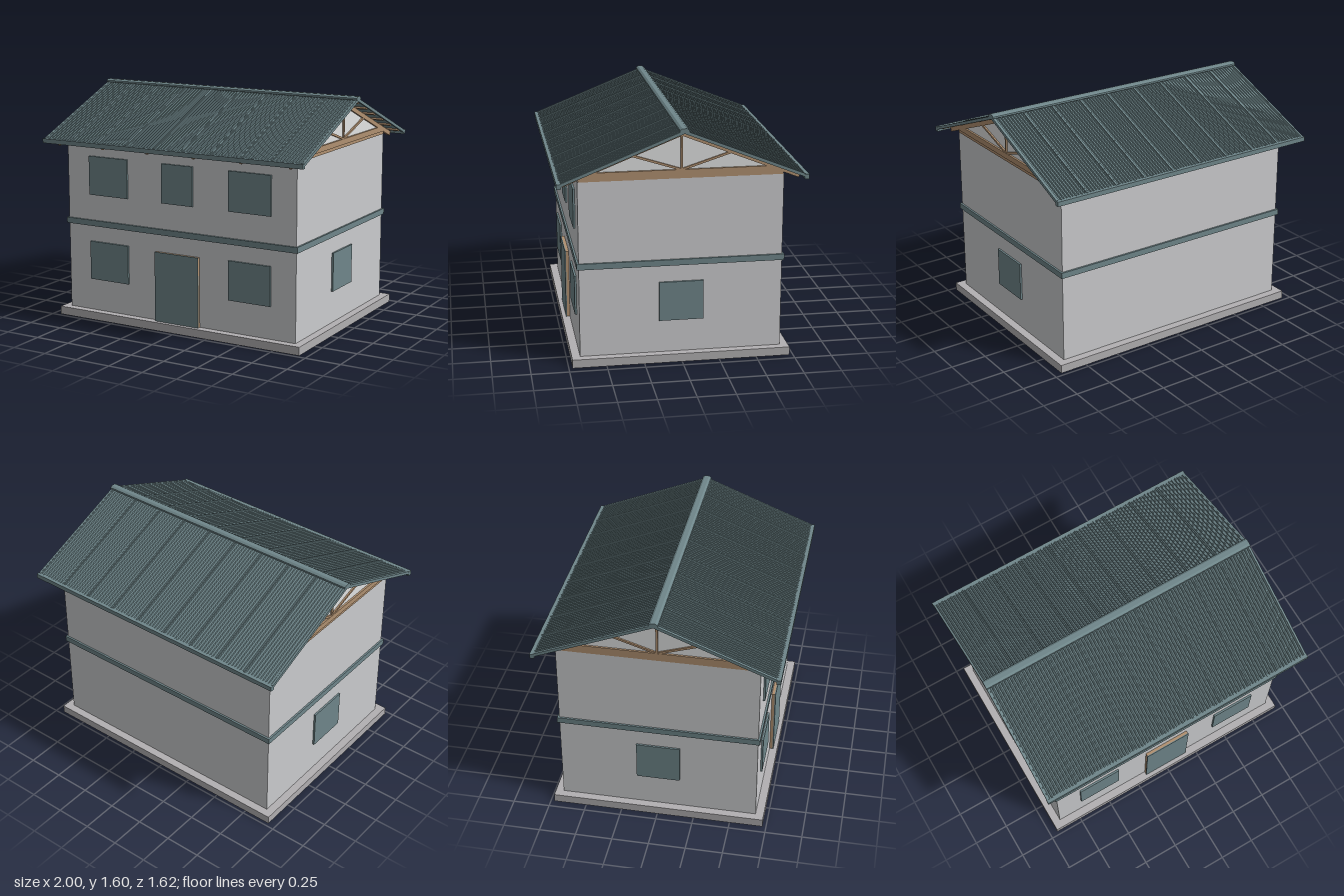
import * as THREE from 'three';

const mat = (name, color) => {
  const m = new THREE.MeshStandardMaterial({ color });
  m.name = name;
  return m;
};

export function createModel() {
  const model = new THREE.Group();
  model.name = 'house';
  const teal = mat('teal', 0x6f868a);
  const plaster = mat('plaster', 0xcbccce);
  const concrete = mat('concrete', 0xb2b0b2);
  const timber = mat('timber', 0xb09070);
  const gablePanel = mat('gable panel', 0xe2e3e3);

  const add = (parent, name, geometry, material) => {
    const mesh = new THREE.Mesh(geometry, material);
    mesh.name = name;
    parent.add(mesh);
    return mesh;
  };
  // Box given by its minimum and maximum corners
  const box = (parent, name, material, x0, x1, y0, y1, z0, z1) => {
    const mesh = add(parent, name, new THREE.BoxGeometry(x1 - x0, y1 - y0, z1 - z0), material);
    mesh.position.set((x0 + x1) / 2, (y0 + y1) / 2, (z0 + z1) / 2);
    return mesh;
  };
  const shapeOf = (points) => new THREE.Shape(points.map(([x, y]) => new THREE.Vector2(x, y)));
  // Prism whose (z, y) outline runs along x
  const prismX = (parent, name, material, points, length, x) => {
    const g = new THREE.ExtrudeGeometry(shapeOf(points), { depth: length, bevelEnabled: false });
    g.translate(0, 0, -length / 2).rotateY(Math.PI / 2);
    const mesh = add(parent, name, g, material);
    mesh.position.x = x;
    return mesh;
  };

  // Body
  box(model, 'foundation', concrete, -0.945, 0.945, 0, 0.057, -0.725, 0.725);
  box(model, 'walls', plaster, -0.89, 0.89, 0.057, 1.248, -0.67, 0.67);
  box(model, 'floorBand', teal, -0.903, 0.903, 0.66, 0.7, -0.683, 0.683);

  // Windows and door
  for (const s of [-1, 1]) {
    for (const y of [0.28, 0.88]) {
      box(model, 'frontWindow', teal, s * 0.552 - 0.156, s * 0.552 + 0.156, y, y + 0.27, 0.665, 0.683);
    }
    box(model, 'sideWindow', teal, s * 0.894 - 0.009, s * 0.894 + 0.009, 0.28, 0.547, -0.147, 0.147);
  }
  box(model, 'middleWindow', teal, -0.121, 0.121, 0.88, 1.15, 0.665, 0.683);
  box(model, 'doorFrame', timber, -0.168, 0.168, 0.057, 0.54, 0.665, 0.69);
  box(model, 'door', teal, -0.17, 0.17, 0.057, 0.542, 0.69, 0.697);

  // Wall plates and gable infill
  for (const s of [-1, 1]) {
    box(model, 'wallPlate', timber, -0.893, 0.893, 1.245, 1.268, s * 0.645 - 0.02, s * 0.645 + 0.02);
    box(model, 'endPlate', timber, s * 0.883 - 0.012, s * 0.883 + 0.012, 1.245, 1.268, -0.66, 0.66);
    prismX(model, 'gablePanel', gablePanel, [[-0.64, 1.28], [0.64, 1.28], [0, 1.537]], 0.006, s * 0.884);
  }

  // Roof trusses
  const pitch = Math.atan(0.4);
  const ridgeY = 1.57;
  const strut = (parent, name, z0, y0, z1, y1, width) => {
    const length = Math.hypot(z1 - z0, y1 - y0);
    const mesh = add(parent, name, new THREE.BoxGeometry(0.016, width, length), timber);
    mesh.position.set(0, (y0 + y1) / 2, (z0 + z1) / 2);
    mesh.rotation.x = -Math.atan2(y1 - y0, z1 - z0);
  };
  for (let i = 0; i < 6; i++) {
    const truss = new THREE.Group();
    truss.name = 'truss';
    truss.position.x = -0.89 + i * 0.356;
    model.add(truss);
    box(truss, 'bottomChord', timber, -0.01, 0.01, 1.266, 1.304, -0.645, 0.645);
    box(truss, 'kingPost', timber, -0.008, 0.008, 1.29, 1.545, -0.007, 0.007);
    for (const s of [-1, 1]) {
      strut(truss, 'web', 0, 1.302, s * 0.335, 1.41, 0.014);
      const rafter = box(truss, 'rafter', timber, -0.01, 0.01, -0.015, 0.015, -0.42, 0.42);
      rafter.rotation.x = s * pitch;
      rafter.position.set(0, ridgeY, 0).add(
        new THREE.Vector3(0, -0.027, s * 0.42).applyAxisAngle(new THREE.Vector3(1, 0, 0), s * pitch));
    }
  }

  // Corrugated sheet cross-section: flat base with trapezoid ribs
  const pts = [[-0.99, 0]];
  const ribs = 90, step = 1.98 / ribs;
  pts.push([0.99, 0]);
  for (let i = ribs - 1; i >= 0; i--) {
    const x = -0.99 + i * step;
    pts.push([x + step, 0.005], [x + step * 0.75, 0.005], [x + step * 0.6, 0.011],
      [x + step * 0.3, 0.011], [x + step * 0.15, 0.005]);
  }
  pts.push([-0.99, 0.005]);
  const sheetGeometry = new THREE.ExtrudeGeometry(shapeOf(pts), { depth: 0.845, bevelEnabled: false });

  // Two mirrored roof slopes
  for (const turn of [0, Math.PI]) {
    const side = new THREE.Group();
    side.name = 'roofSide';
    side.rotation.y = turn;
    model.add(side);
    const slope = new THREE.Group();
    slope.name = 'roofSlope';
    slope.position.y = ridgeY;
    slope.rotation.x = pitch;
    side.add(slope);
    add(slope, 'roofSheet', sheetGeometry, teal);
    for (let i = 0; i < 8; i++) {
      const x = -0.77 + i * 0.22;
      box(slope, 'sheetSeam', teal, x - 0.004, x + 0.004, 0.004, 0.014, 0, 0.845);
    }
    for (let i = 0; i < 6; i++) {
      const z = 0.05 + i * 0.15;
      box(slope, 'purlin', timber, -0.975, 0.975, -0.012, 0, z - 0.012, z + 0.012);
    }
    for (const s of [-1, 1]) {
      box(slope, 'rakeTrim', teal, s * 0.991 - 0.007, s * 0.991 + 0.007, -0.008, 0.0125, 0, 0.845);
    }
    box(side, 'gutter', teal, -1, 1, 1.235, 1.266, 0.78, 0.81);
  }

  // Ridge cap
  prismX(model, 'ridgeCap', teal, [[-0.032, 1.575], [-0.02, 1.566], [0.02, 1.566], [0.032, 1.575],
    [0.03, 1.585], [0.015, 1.595], [-0.015, 1.595], [-0.03, 1.585]], 2, 0);

  return model;
}
